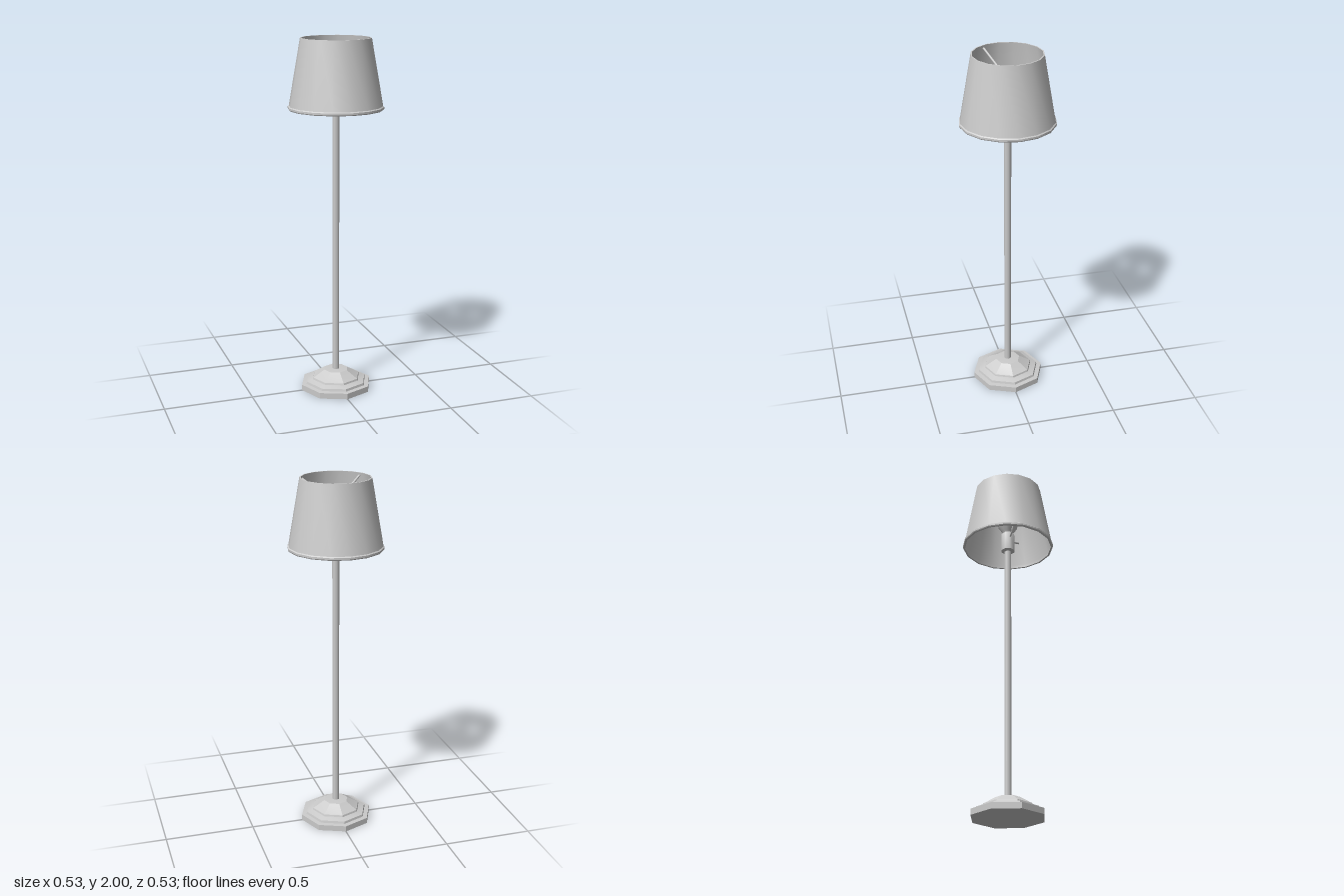
import * as THREE from 'three';
import { toCreasedNormals } from 'three/addons/utils/BufferGeometryUtils.js';

const material = new THREE.MeshStandardMaterial({ color: 0xcccccc });

function add(group, name, geometry) {
  const mesh = new THREE.Mesh(geometry, material);
  mesh.name = name;
  group.add(mesh);
  return mesh;
}

// Turned part from [radius, y] pairs, outside listed from bottom to top
function turned(points, sides, crease = 0.5) {
  const profile = points.map(([r, y]) => new THREE.Vector2(r, y));
  return toCreasedNormals(new THREE.LatheGeometry(profile, sides), crease);
}

// Straight rod between two points
function rod(from, to, radius, sides = 8) {
  const direction = to.clone().sub(from);
  const geometry = new THREE.CylinderGeometry(radius, radius, direction.length(), sides);
  const turn = new THREE.Quaternion().setFromUnitVectors(
    new THREE.Vector3(0, 1, 0), direction.normalize());
  geometry.applyQuaternion(turn);
  const middle = from.clone().add(to).multiplyScalar(0.5);
  return geometry.translate(middle.x, middle.y, middle.z);
}

export function createModel() {
  const lamp = new THREE.Group();
  lamp.name = 'floorLamp';

  // Stepped octagonal foot
  add(lamp, 'base', turned([
    [0, 0], [0.205, 0], [0.205, 0.033], [0.178, 0.035], [0.175, 0.048],
    [0.14, 0.058], [0.137, 0.068], [0.13, 0.071], [0.07, 0.108], [0, 0.112],
  ], 8, 0.3));

  // Pole
  add(lamp, 'pole', rod(new THREE.Vector3(0, 0.1, 0), new THREE.Vector3(0, 1.6, 0), 0.02));

  // Bulb holder with its switch
  add(lamp, 'socket', turned([
    [0, 1.585], [0.03, 1.585], [0.04, 1.592], [0.04, 1.7], [0.03, 1.71], [0, 1.71],
  ], 8, 0.9));
  add(lamp, 'switchKnob', rod(
    new THREE.Vector3(0, 1.66, 0.03), new THREE.Vector3(0, 1.66, 0.067), 0.007));

  // Bulb
  add(lamp, 'bulb', turned([
    [0.028, 1.7], [0.035, 1.72], [0.055, 1.75], [0.063, 1.785],
    [0.055, 1.82], [0.033, 1.843], [0, 1.85],
  ], 12, 0.9));

  // Wire arms either side of the bulb
  for (const side of [-1, 1]) {
    const path = new THREE.CatmullRomCurve3([
      [0.035, 1.67], [0.07, 1.69], [0.086, 1.74], [0.086, 1.8],
      [0.065, 1.85], [0.035, 1.872], [0.023, 1.915],
    ].map(([x, y]) => new THREE.Vector3(side * x, y, 0)));
    add(lamp, side > 0 ? 'leftHarp' : 'rightHarp',
      new THREE.TubeGeometry(path, 20, 0.005, 6));
  }

  // Cap that carries the shade
  add(lamp, 'cap', turned([
    [0, 1.86], [0.04, 1.86], [0.04, 1.89], [0.028, 1.908], [0, 1.912],
  ], 8, 0.5));

  // Two spokes rising from the cap to the shade rim
  for (const side of [-1, 1]) {
    add(lamp, side > 0 ? 'leftSpoke' : 'rightSpoke', rod(
      new THREE.Vector3(side * 0.02, 1.875, 0.0115),
      new THREE.Vector3(side * 0.16, 1.985, 0.092), 0.006));
  }

  // Hollow shade with a thin wall and a raised lower hem
  add(lamp, 'shade', turned([
    [0.25, 1.615], [0.26, 1.615], [0.263, 1.62], [0.263, 1.63], [0.257, 1.635],
    [0.193, 2], [0.186, 2], [0.25, 1.635], [0.25, 1.615],
  ], 16, 0.5));

  return lamp;
}
